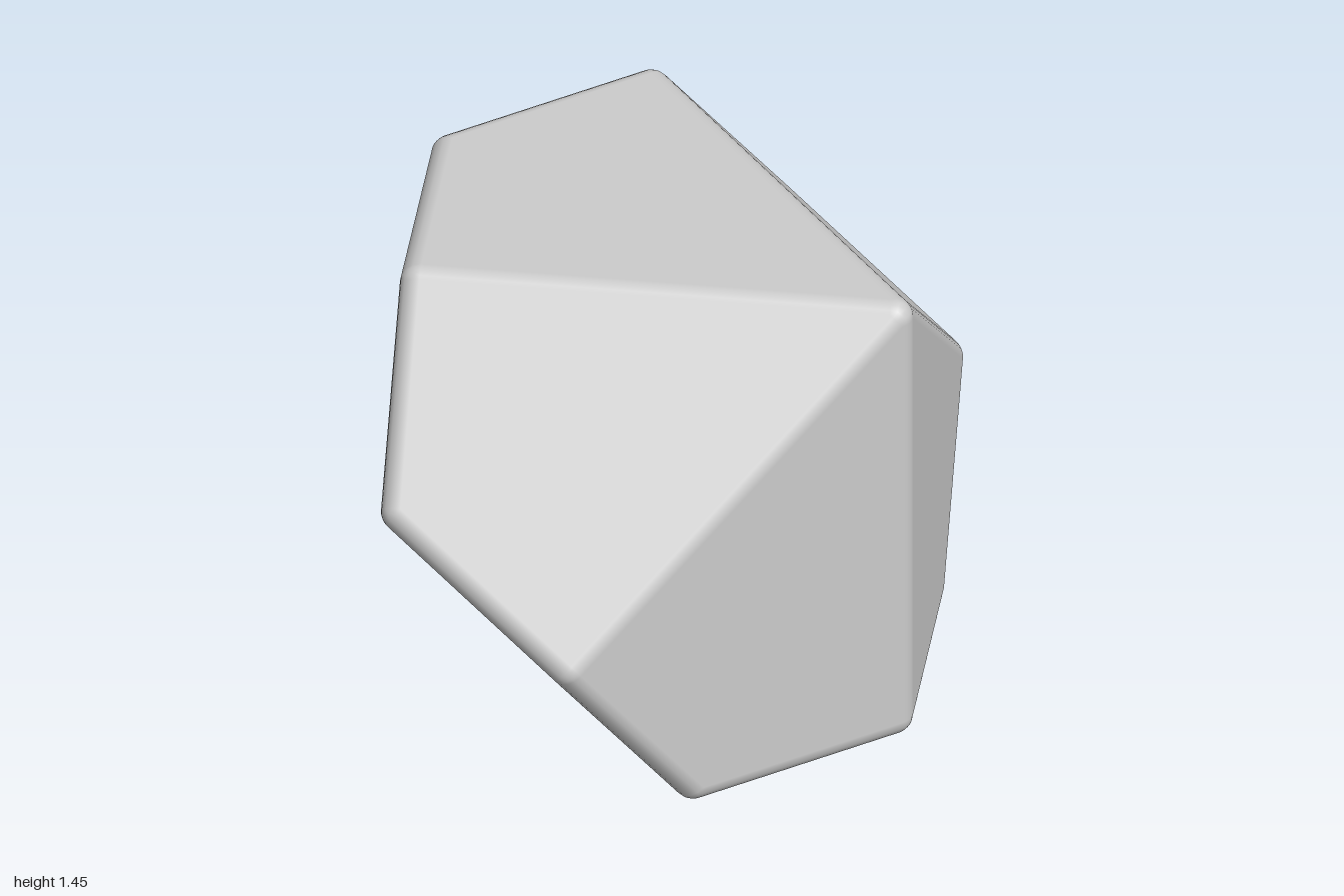
import * as THREE from 'three';
import { ConvexGeometry } from 'three/addons/geometries/ConvexGeometry.js';

// Ten-sided die: a pentagonal trapezohedron with rounded edges, resting on one kite face.
const HALF_X = 0.806;   // half width of the sharp solid
const INRADIUS = 0.725; // distance from centre to every face
const ROUND = 0.06;     // edge radius
const STEPS = 4;        // segments across each rounded edge

export function createModel() {
  const H = Math.hypot(HALF_X, INRADIUS);               // apex height along the tilted axis
  const h = (HALF_X ** 2 - INRADIUS ** 2) / H;          // zigzag height of the ring
  const R = 2 * HALF_X * INRADIUS / H;                  // ring radius
  const axis = new THREE.Vector3(HALF_X, INRADIUS, 0).divideScalar(H);
  const side = new THREE.Vector3(-INRADIUS, HALF_X, 0).divideScalar(H);
  const depth = new THREE.Vector3(0, 0, 1);

  // Point at height t on the axis and radius r, in ring direction k of ten
  const place = (t, r, k) => new THREE.Vector3()
    .addScaledVector(axis, t)
    .addScaledVector(side, r * Math.cos(k * Math.PI / 5))
    .addScaledVector(depth, r * Math.sin(k * Math.PI / 5));

  // Face normals: even ones lean to the upper apex, odd ones to the lower
  const normals = [];
  for (let k = 0; k < 10; k++) {
    const sign = k % 2 ? -1 : 1;
    normals.push(place(sign * INRADIUS / H, HALF_X / H, k).normalize());
  }

  // Corners, each with the faces that meet there in order
  const corners = [
    { p: place(H, 0, 0), faces: [0, 2, 4, 6, 8] },
    { p: place(-H, 0, 0), faces: [1, 3, 5, 7, 9] },
  ];
  for (let k = 0; k < 10; k++) {
    corners.push({ p: place(k % 2 ? h : -h, R, k), faces: [(k + 9) % 10, k, (k + 1) % 10] });
  }

  // Shrink the solid, then put a patch of a small sphere on every corner
  const points = [];
  for (const { p, faces } of corners) {
    p.multiplyScalar(1 - ROUND / INRADIUS);
    const add = (d) => points.push(p.clone().addScaledVector(d, ROUND));
    const mid = new THREE.Vector3();
    faces.forEach((f) => mid.add(normals[f]));
    mid.normalize();
    add(mid);
    faces.forEach((f, i) => {
      const a = normals[f];
      const b = normals[faces[(i + 1) % faces.length]];
      const angle = a.angleTo(b);
      for (let s = 0; s < STEPS; s++) {
        const t = s / STEPS;
        const d = a.clone().multiplyScalar(Math.sin((1 - t) * angle))
          .addScaledVector(b, Math.sin(t * angle)).normalize();
        add(d);
        add(d.clone().lerp(mid, 0.5).normalize());
      }
    });
  }
  const geometry = new ConvexGeometry(points);

  // Smooth normals: each point looks away from its nearest shrunken corner
  const pos = geometry.attributes.position;
  const v = new THREE.Vector3();
  for (let i = 0; i < pos.count; i++) {
    v.fromBufferAttribute(pos, i);
    let best = corners[0].p;
    for (const { p } of corners) {
      if (p.distanceToSquared(v) < best.distanceToSquared(v)) best = p;
    }
    v.sub(best).normalize();
    geometry.attributes.normal.setXYZ(i, v.x, v.y, v.z);
  }

  const die = new THREE.Mesh(geometry, new THREE.MeshStandardMaterial({ color: 0xcccccc }));
  die.name = 'tenSidedDie';
  die.position.y = INRADIUS;

  const model = new THREE.Group();
  model.name = 'die';
  model.add(die);
  return model;
}
